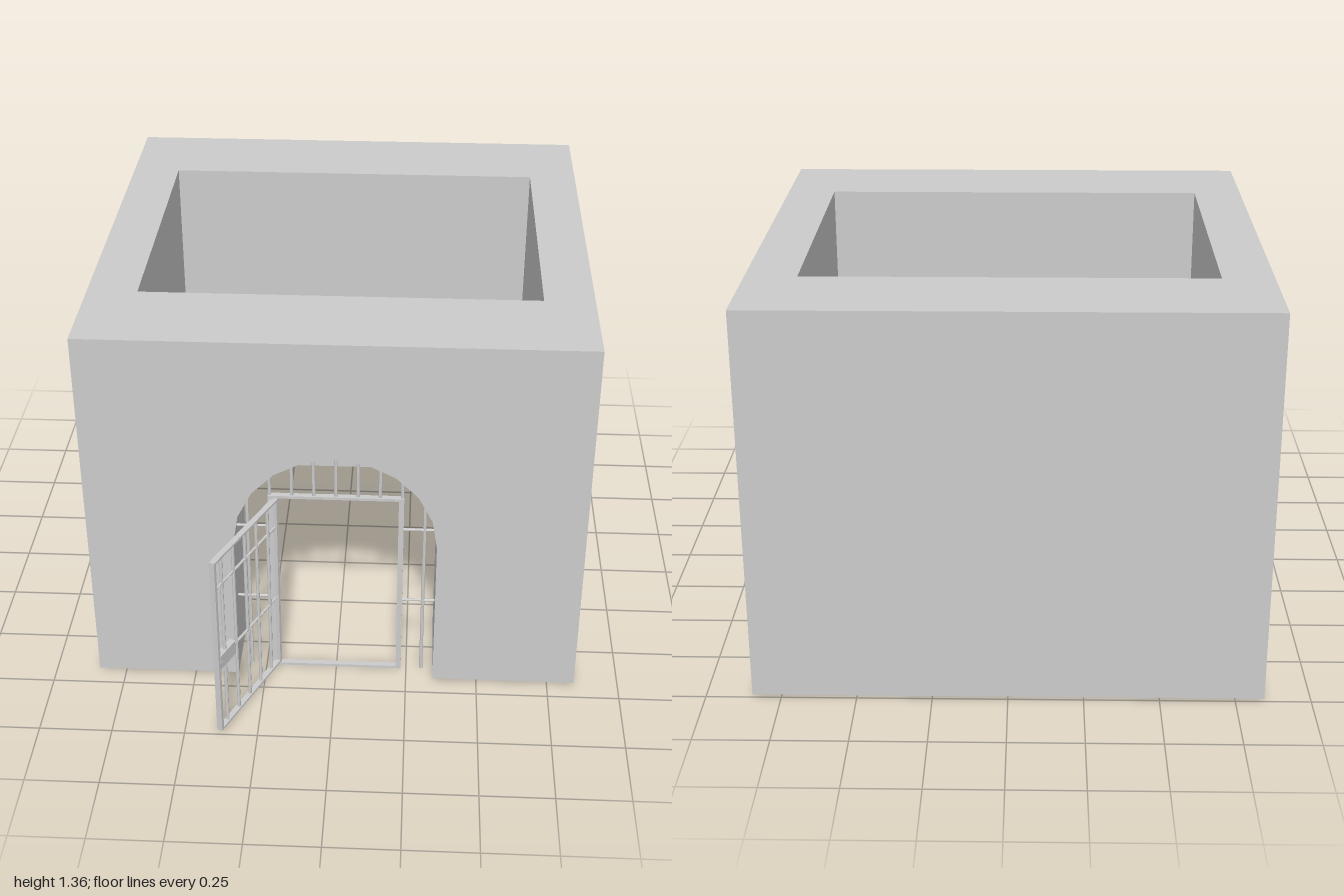
import * as THREE from 'three';

const material = new THREE.MeshStandardMaterial({ color: 0xcccccc, flatShading: true });
const ARCH_R = 0.345, SPRING = 0.58, FRAME_Z = 0.615;

function add(parent, name, geometry, x = 0, y = 0, z = 0) {
  const mesh = new THREE.Mesh(geometry, material);
  mesh.name = name;
  mesh.position.set(x, y, z);
  parent.add(mesh);
  return mesh;
}

const box = (parent, name, w, h, d, x, y, z) =>
  add(parent, name, new THREE.BoxGeometry(w, h, d), x, y, z);

// Round upright between two heights
const upright = (parent, name, x, y0, y1, z, r = 0.006) =>
  add(parent, name, new THREE.CylinderGeometry(r, r, y1 - y0, 8), x, (y0 + y1) / 2, z);

// Round crossbar between two x positions
const crossbar = (parent, name, x0, x1, y, z, r = 0.005) => {
  const mesh = add(parent, name, new THREE.CylinderGeometry(r, r, x1 - x0, 8), (x0 + x1) / 2, y, z);
  mesh.rotation.z = Math.PI / 2;
  return mesh;
};

const archHeight = (x) => SPRING + Math.sqrt(ARCH_R * ARCH_R - x * x);

function createWalls() {
  const walls = new THREE.Group();
  walls.name = 'walls';

  // Front wall with arched doorway
  const front = new THREE.Shape();
  front.moveTo(-0.845, 0.01);
  front.lineTo(-ARCH_R, 0.01);
  front.lineTo(-ARCH_R, SPRING);
  front.absarc(0, SPRING, ARCH_R, Math.PI, 0, true);
  front.lineTo(ARCH_R, 0.01);
  front.lineTo(0.845, 0.01);
  front.lineTo(0.845, 1.355);
  front.lineTo(-0.845, 1.355);
  front.closePath();
  add(walls, 'frontWall', new THREE.ExtrudeGeometry(front, {
    depth: 0.335, bevelEnabled: false, curveSegments: 5,
  }), 0, 0, 0.35);

  // Side and back walls as one U-shaped plan, open above and below
  const plan = new THREE.Shape([
    [-0.845, -0.35], [-0.675, -0.35], [-0.675, 0.67], [0.675, 0.67],
    [0.675, -0.35], [0.845, -0.35], [0.845, 1], [-0.845, 1],
  ].map(([x, y]) => new THREE.Vector2(x, y)));
  const sides = new THREE.ExtrudeGeometry(plan, { depth: 1.345, bevelEnabled: false });
  sides.rotateX(-Math.PI / 2);
  add(walls, 'sideAndBackWalls', sides, 0, 0.01, 0);
  return walls;
}

function createFrame() {
  const frame = new THREE.Group();
  frame.name = 'gateFrame';
  box(frame, 'sill', 0.44, 0.01, 0.02, 0, 0.005, FRAME_Z);
  box(frame, 'lintel', 0.44, 0.01, 0.02, 0, 0.73, FRAME_Z);

  for (const s of [-1, 1]) {
    box(frame, 'jamb', 0.018, 0.735, 0.02, s * 0.222, 0.3675, FRAME_Z);
    upright(frame, 'sideBar', s * 0.303, 0, archHeight(0.303), FRAME_Z);
    for (const y of [0.305, 0.605]) {
      const [a, b] = [s * 0.222, s * 0.355].sort((p, q) => p - q);
      crossbar(frame, 'sideCrossbar', a, b, y, FRAME_Z);
    }
  }
  // Short bars filling the arch above the lintel
  for (let i = -3; i <= 3; i++) {
    const x = i * 0.075;
    upright(frame, 'archBar', x, 0.73, archHeight(x), FRAME_Z);
  }
  return frame;
}

// Door leaf, built along local +x from its hinge, then swung open
function createDoor() {
  const door = new THREE.Group();
  door.name = 'gateDoor';
  const L = 0.418;
  for (const x of [0.006, L - 0.006]) box(door, 'stile', 0.012, 0.706, 0.02, x, 0.368, 0);
  for (const y of [0.019, 0.717]) box(door, 'rail', L, 0.008, 0.02, L / 2, y, 0);
  for (const y of [0.305, 0.605]) crossbar(door, 'doorCrossbar', 0, L, y, 0);
  for (let i = 1; i <= 5; i++) upright(door, 'doorBar', L - 0.055 - (i - 1) * 0.076, 0.019, 0.717, 0);

  // Lock case with handle and keyhole stud
  box(door, 'lockCase', 0.1, 0.055, 0.022, L - 0.058, 0.305, 0);
  box(door, 'lockHandle', 0.035, 0.012, 0.012, L - 0.085, 0.305, 0.017);
  const stud = add(door, 'keyhole', new THREE.CylinderGeometry(0.005, 0.005, 0.026, 8), L - 0.02, 0.305, 0);
  stud.rotation.x = Math.PI / 2;

  door.position.set(-0.205, 0, FRAME_Z);
  door.rotation.y = THREE.MathUtils.degToRad(-114.5);
  return door;
}

export function createModel() {
  const model = new THREE.Group();
  model.name = 'gatedCell';
  model.add(createWalls(), createFrame(), createDoor());
  return model;
}
